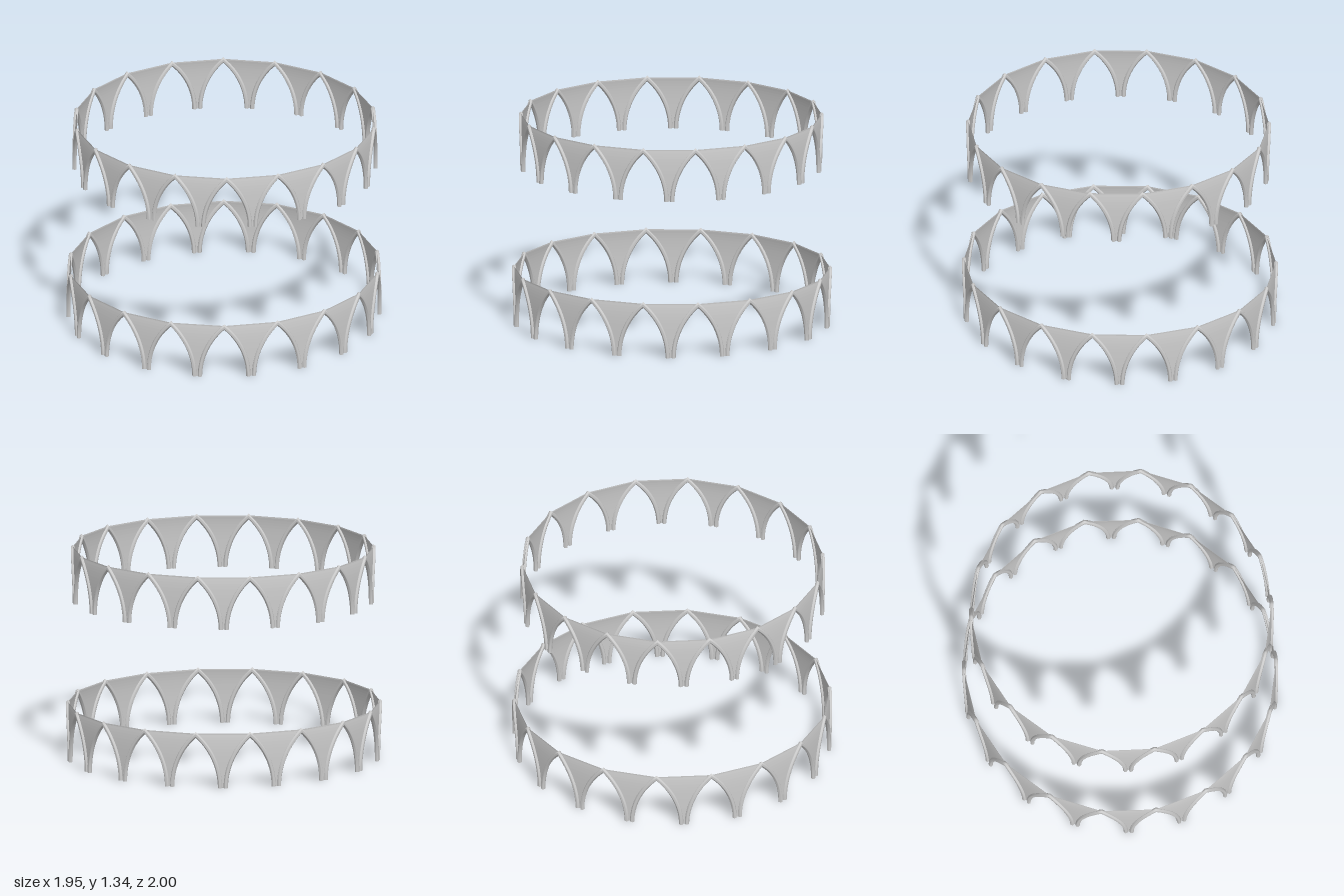
import * as THREE from 'three';

const COUNT = 18;          // arches per ring
const STEPS = 16;          // path steps per half arch
const SIDES = 24;          // points around the moulding
const RIB = 0.014;         // moulding radius
const LEG = 0.018;         // leg offset from the pier centre

const wrap = (R, s, y, out = 0) => {
  const a = s / R;
  return [Math.sin(a) * (R + out), y, Math.cos(a) * (R + out)];
};

// Half of a pointed arch: [distance from pier centre, height], springing to apex
function halfArch(R, h) {
  const w = Math.PI * R / COUNT - LEG;
  const r = (w * w + h * h) / (2 * w);
  const end = Math.asin(h / r);
  return Array.from({ length: STEPS + 1 }, (_, i) => {
    const t = end * i / STEPS;
    return [LEG + r * (1 - Math.cos(t)), r * Math.sin(t)];
  });
}

function makeGeometry(pos, idx) {
  const g = new THREE.BufferGeometry();
  g.setAttribute('position', new THREE.Float32BufferAttribute(pos, 3));
  g.setIndex(idx);
  g.computeVertexNormals();
  return g;
}

// Ribbed moulding swept along the arch and bent around the ring
function archGeometry(R, h) {
  const half = halfArch(R, h);
  const mid = Math.PI * R / COUNT;
  const left = half.map(([s, y]) => [s - mid, y]);
  const path = [...left, ...left.slice(0, -1).reverse().map(([s, y]) => [-s, y])];
  const last = path.length - 1;
  const pos = [], idx = [];
  path.forEach(([s, y], i) => {
    const a = path[Math.max(i - 1, 0)], b = path[Math.min(i + 1, last)];
    let tx = b[0] - a[0], ty = b[1] - a[1];
    if (i === 0 || i === last) { tx = 0; ty = i ? -1 : 1; }
    const len = Math.hypot(tx, ty);
    tx /= len; ty /= len;
    // mitre at the point of the arch
    let k = 1;
    if (i === STEPS) k = Math.hypot(s - a[0], y - a[1]) / Math.abs(s - a[0]);
    for (let j = 0; j < SIDES; j++) {
      const q = j / SIDES * Math.PI * 2;
      const r = RIB * (0.92 + 0.08 * Math.cos(q * 6));
      const n = Math.cos(q) * r * k, out = Math.sin(q) * r;
      pos.push(...wrap(R, s - ty * n, y + tx * n, out));
    }
  });
  for (let i = 0; i < last; i++) {
    for (let j = 0; j < SIDES; j++) {
      const a = i * SIDES + j, b = i * SIDES + (j + 1) % SIDES;
      idx.push(a, b, a + SIDES, b, b + SIDES, a + SIDES);
    }
  }
  // flat feet
  for (const row of [0, last]) {
    const base = pos.length / 3;
    for (let j = 0; j < SIDES; j++) {
      const v = (row * SIDES + j) * 3;
      pos.push(pos[v], pos[v + 1], pos[v + 2]);
    }
    for (let j = 1; j < SIDES - 1; j++) {
      if (row) idx.push(base, base + j, base + j + 1);
      else idx.push(base, base + j + 1, base + j);
    }
  }
  return makeGeometry(pos, idx);
}

// Web between two neighbouring arches, straight across at every height
function spandrelGeometry(R, h) {
  const rows = halfArch(R, h);
  rows.push([rows[STEPS][0], h + 0.008]);
  const pos = [], idx = [];
  rows.forEach(([s, y], i) => {
    pos.push(...wrap(R, -s, y), ...wrap(R, s, y));
    if (i) {
      const a = 2 * (i - 1);
      idx.push(a, a + 1, a + 2, a + 1, a + 3, a + 2);
    }
  });
  return makeGeometry(pos, idx);
}

function arcade(name, R, h) {
  const ring = new THREE.Group();
  ring.name = name;
  const stone = new THREE.MeshStandardMaterial({ color: 0xcccccc });
  const web = new THREE.MeshStandardMaterial({
    color: 0xcccccc, flatShading: true, side: THREE.DoubleSide,
  });
  const archGeo = archGeometry(R, h), webGeo = spandrelGeometry(R, h);
  const pitch = Math.PI * 2 / COUNT;
  for (let i = 0; i < COUNT; i++) {
    const arch = new THREE.Mesh(archGeo, stone);
    arch.name = 'arch';
    arch.rotation.y = (i + 0.5) * pitch;
    const spandrel = new THREE.Mesh(webGeo, web);
    spandrel.name = 'spandrel';
    spandrel.rotation.y = i * pitch;
    ring.add(arch, spandrel);
  }
  return ring;
}

export function createModel() {
  const model = new THREE.Group();
  model.name = 'doubleArcade';

  // Lower ring, slightly narrower across x
  const lower = arcade('lowerArcade', 0.986, 0.336);
  lower.scale.x = 0.978;

  // Upper ring, a little smaller
  const upper = arcade('upperArcade', 0.938, 0.322);
  upper.position.set(0.009, 1.0, 0.003);

  model.add(lower, upper);
  return model;
}
